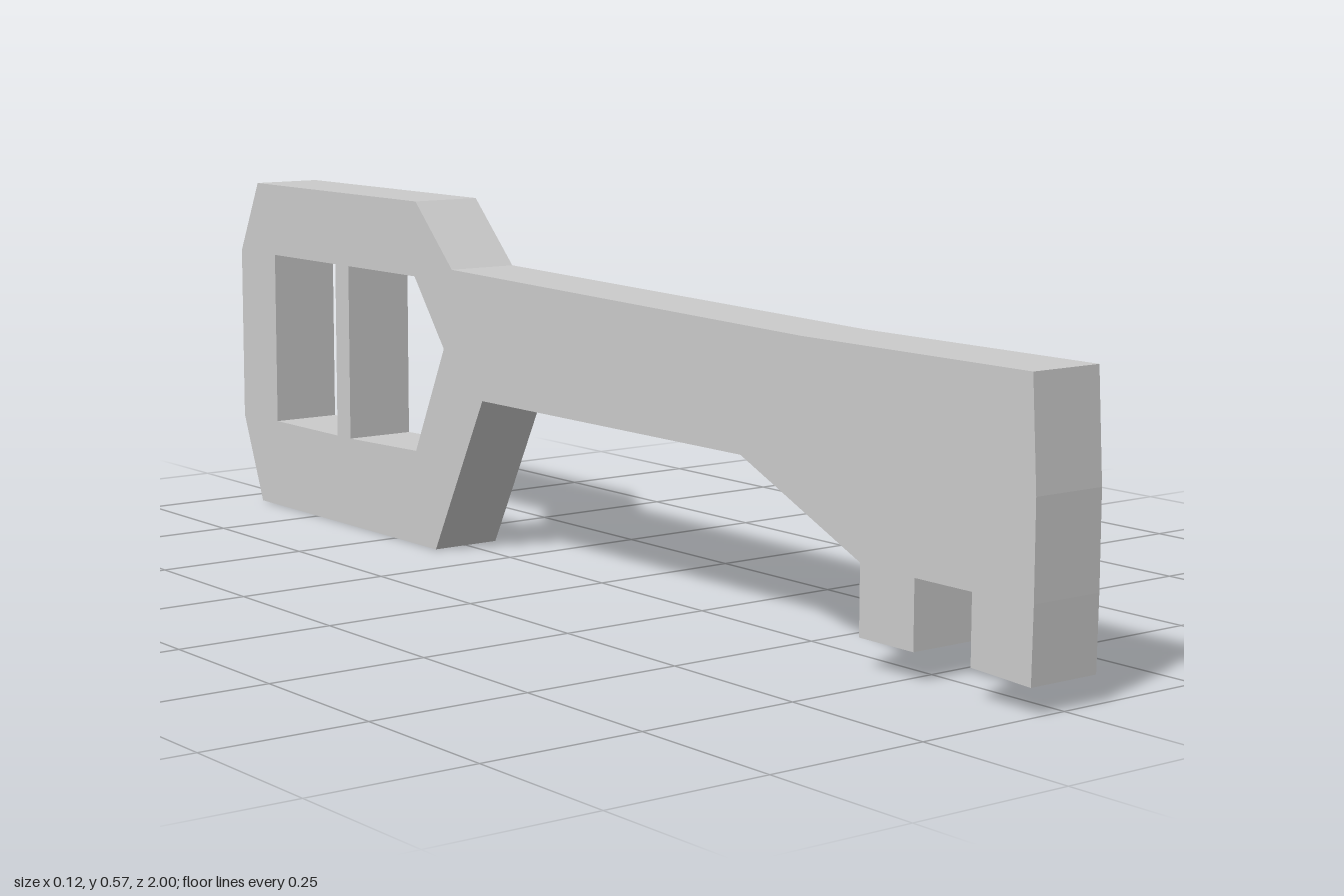
import * as THREE from 'three';

const THICKNESS = 0.12;
const points = (list) => list.map(([z, y]) => new THREE.Vector2(z, y));

export function createModel() {
  const group = new THREE.Group();
  group.name = 'key';

  // Side outline as (z, y): bit end, two teeth, shaft, then the chamfered bow
  const outline = new THREE.Shape(points([
    [0.99, 0.45], [0.54, 0.45], [-0.325, 0.47],
    [-0.43, 0.574], [-0.94, 0.574], [-1, 0.45], [-1, 0.15], [-0.94, 0], [-0.378, 0],
    [-0.24, 0.265], [0.41, 0.265], [0.668, 0.15],
    [0.668, 0.045], [0.777, 0.045], [0.777, 0.147],
    [0.887, 0.147], [0.887, 0.045], [0.998, 0.04],
    [1, 0.15], [1, 0.29],
  ]));

  // Two bow windows, leaving a thin bar between them
  outline.holes.push(
    new THREE.Path(points([[-0.35, 0.338], [-0.435, 0.45], [-0.64, 0.45], [-0.64, 0.152], [-0.435, 0.158]])),
    new THREE.Path(points([[-0.682, 0.45], [-0.884, 0.45], [-0.884, 0.152], [-0.682, 0.152]])),
  );

  // Extrude across x, centred on the middle plane
  const geometry = new THREE.ExtrudeGeometry(outline, { depth: THICKNESS, bevelEnabled: false });
  geometry.translate(0, 0, -THICKNESS / 2);
  geometry.rotateY(-Math.PI / 2);

  const body = new THREE.Mesh(
    geometry,
    new THREE.MeshStandardMaterial({ color: 0xcccccc, flatShading: true }),
  );
  body.name = 'keyBody';
  group.add(body);
  return group;
}
